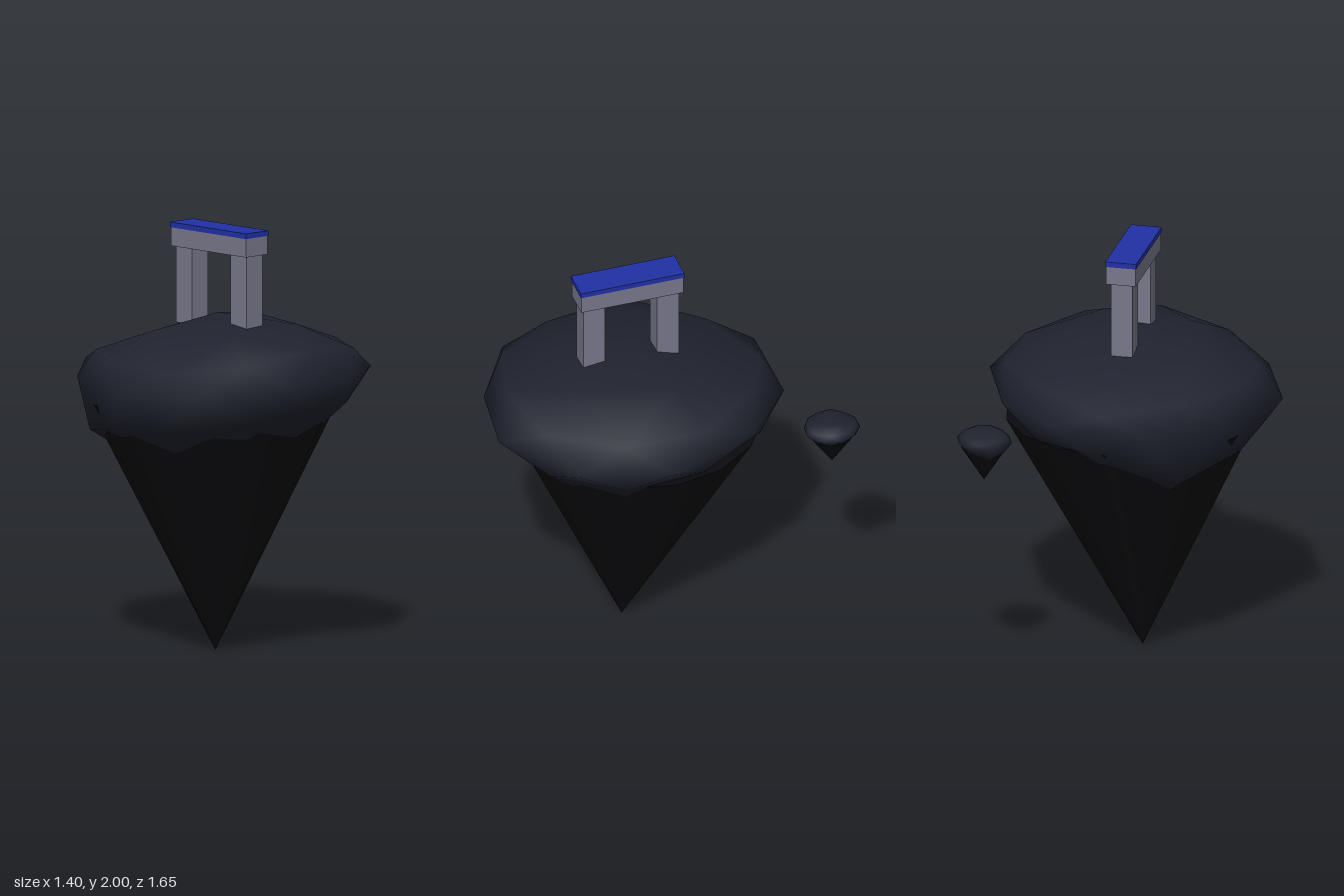
import * as THREE from 'three';
import { mergeVertices } from 'three/addons/utils/BufferGeometryUtils.js';

const mat = (color) => new THREE.MeshStandardMaterial({ color });
const capMat = mat(0x2030a4), stoneMat = mat(0x77778a), soilMat = mat(0x20232f), rockMat = mat(0x0b0b0f);

// irregular rim, one [x, z, height offset] every 36 degrees from +x towards +z
const rim = [
  [0.70, 0.025, 0], [0.575, 0.435, 0], [0.19, 0.705, 0.005], [-0.175, 0.65, 0], [-0.55, 0.425, -0.03],
  [-0.705, 0.025, -0.045], [-0.515, -0.42, -0.02], [-0.18, -0.695, 0], [0.25, -0.69, 0], [0.535, -0.445, 0],
];
// height offsets above and below the rim, every 36 degrees from 18 degrees
const upper = [-0.025, 0, 0.01, -0.01, -0.05, 0, -0.055, -0.07, -0.015, 0];
const lower = [0, 0, 0, -0.03, -0.07, -0.08, -0.18, -0.05, 0, 0];

function add(parent, name, geometry, material, x = 0, y = 0, z = 0) {
  const m = new THREE.Mesh(geometry, material);
  m.name = name;
  m.position.set(x, y, z);
  parent.add(m);
  return m;
}

// squashed icosphere, its rings stretched to the rim, its underside hanging into the spike
function moundGeometry(halfHeight) {
  let g = new THREE.IcosahedronGeometry(1, 1);
  g.deleteAttribute('uv');
  g.deleteAttribute('normal');
  g = mergeVertices(g, 1e-4);
  g.rotateX(-Math.atan((1 + Math.sqrt(5)) / 2)).rotateY(Math.PI);
  const p = g.attributes.position;
  for (let i = 0; i < p.count; i++) {
    const x = p.getX(i), y = p.getY(i), z = p.getZ(i), r = Math.hypot(x, z);
    if (r < 0.01) { // top and bottom points
      if (y > 0) p.setXYZ(i, 0.04, halfHeight, -0.04);
      else p.setXYZ(i, -0.05, -0.88, 0.02);
      continue;
    }
    const a = (Math.atan2(z, x) / (Math.PI / 5) + 20) % 10;
    const k = Math.floor(a + 0.01) % 10, t = Math.max(0, a - Math.floor(a + 0.01));
    const [u, v] = [rim[k], rim[(k + 1) % 10]];
    const mix = (n) => u[n] + (v[n] - u[n]) * t;
    let s = r * (1 + 0.05 * Math.sin(Math.PI * t)); // keep midpoints on the round
    let h = y * halfHeight + mix(2) * r;
    if (y > 0.3) h += upper[k];
    else if (y < -0.8) {
      h = -0.5;
      s *= 0.75;
    } else if (y < -0.3) h += lower[k];
    p.setXYZ(i, mix(0) * s, h, mix(1) * s);
  }
  g.computeVertexNormals();
  return g;
}

// downward cone with its tip shifted off centre
function spikeGeometry(radius, height, tipX, tipZ) {
  const g = new THREE.ConeGeometry(radius, height, 16, 1);
  g.rotateX(Math.PI).translate(0, -height / 2, 0);
  const p = g.attributes.position;
  for (let i = 0; i < p.count; i++) {
    const t = -p.getY(i) / height;
    p.setX(i, p.getX(i) + tipX * t);
    p.setZ(i, p.getZ(i) + tipZ * t);
  }
  return g;
}

export function createModel() {
  const model = new THREE.Group();
  model.name = 'floatingIslands';

  // main island
  const island = new THREE.Group();
  island.name = 'mainIsland';
  add(island, 'mainMound', moundGeometry(0.262), soilMat, 0, 1.323, 0.12);
  add(island, 'mainSpike', spikeGeometry(0.595, 1.18, -0.04, 0.06), rockMat, 0.005, 1.18, 0.075);
  model.add(island);

  // small island behind
  const islet = new THREE.Group();
  islet.name = 'smallIsland';
  const mound = add(islet, 'smallMound', moundGeometry(0.28), soilMat, 0.54, 1.285, -0.7);
  mound.scale.setScalar(0.187);
  add(islet, 'smallSpike', spikeGeometry(0.108, 0.165, 0, -0.005), rockMat, 0.54, 1.25, -0.7);
  model.add(islet);

  // stone gateway
  const gate = new THREE.Group();
  gate.name = 'gateway';
  gate.position.set(0.006, 0, 0.12);
  gate.rotation.y = -0.02;
  for (const side of [1, -1]) {
    add(gate, side > 0 ? 'frontPillar' : 'backPillar',
      new THREE.BoxGeometry(0.104, 0.37, 0.108), stoneMat, 0, 1.71, side * 0.182);
  }
  add(gate, 'lintel', new THREE.BoxGeometry(0.142, 0.09, 0.503), stoneMat, 0, 1.932, 0);
  add(gate, 'cap', new THREE.BoxGeometry(0.148, 0.025, 0.51), capMat, 0, 1.9875, 0);
  model.add(gate);

  return model;
}
